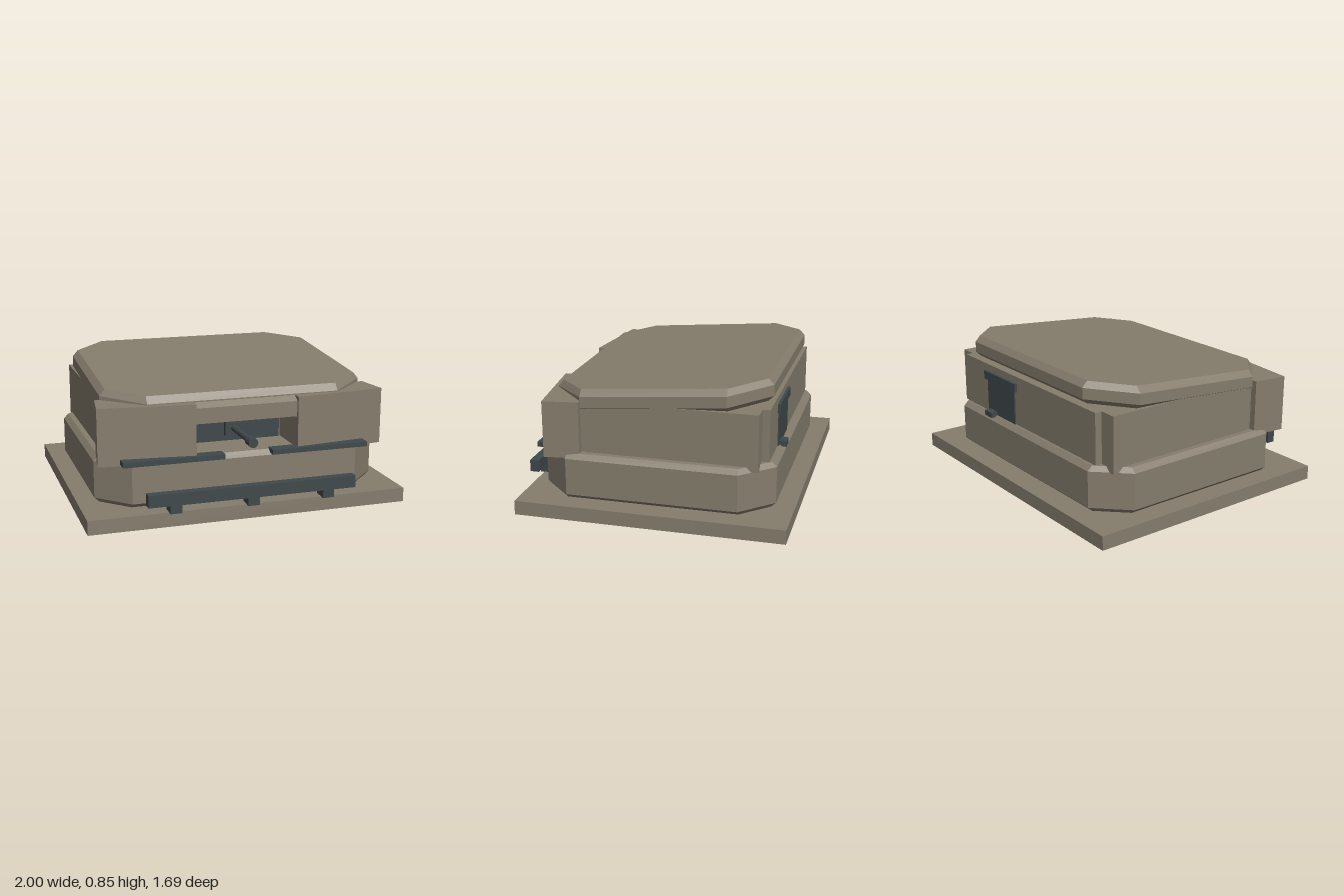
import * as THREE from 'three';

const concrete = new THREE.MeshStandardMaterial({ color: 0x857d6d });
concrete.name = 'concrete';
const metal = new THREE.MeshStandardMaterial({ color: 0x3f484b });
metal.name = 'dark metal';

// Rectangle with cut corners: half width, front z, back z, and where the cuts begin
const octagon = (x, zf, zb, cx, czf, czb) => [
  [cx, zf], [x, czf], [x, czb], [cx, zb], [-cx, zb], [-x, czb], [-x, czf], [-cx, zf],
];

// Flat-faced solid through stacked outlines; tilt raises the back end
function loft(layers, tilt = 0) {
  const v = [];
  const rings = layers.map(([pts, y]) => pts.map(([x, z]) => [x, y - tilt * z, z]));
  const tri = (a, b, c) => v.push(...a, ...b, ...c);
  const n = rings[0].length;
  for (let r = 0; r < rings.length - 1; r++) {
    for (let i = 0; i < n; i++) {
      const j = (i + 1) % n, lo = rings[r], hi = rings[r + 1];
      tri(lo[i], lo[j], hi[j]);
      tri(lo[i], hi[j], hi[i]);
    }
  }
  const bottom = rings[0], top = rings[rings.length - 1];
  for (let i = 1; i < n - 1; i++) {
    tri(bottom[0], bottom[i + 1], bottom[i]);
    tri(top[0], top[i], top[i + 1]);
  }
  const g = new THREE.BufferGeometry();
  g.setAttribute('position', new THREE.Float32BufferAttribute(v, 3));
  g.computeVertexNormals();
  return g;
}

// Upright prism from an (x, z) outline
function prism(pts, y0, y1) {
  const shape = new THREE.Shape(pts.map(([x, z]) => new THREE.Vector2(x, -z)));
  const g = new THREE.ExtrudeGeometry(shape, { depth: y1 - y0, bevelEnabled: false });
  return g.rotateX(-Math.PI / 2).translate(0, y0, 0);
}

// Box given by its extents
function box(x0, x1, y0, y1, z0, z1) {
  return new THREE.BoxGeometry(x1 - x0, y1 - y0, z1 - z0)
    .translate((x0 + x1) / 2, (y0 + y1) / 2, (z0 + z1) / 2);
}

export function createModel() {
  const model = new THREE.Group();
  model.name = 'bunker';
  const add = (name, geometry, material) => {
    const mesh = new THREE.Mesh(geometry, material);
    mesh.name = name;
    model.add(mesh);
  };

  // Ground slab
  add('slab', box(-1, 1, 0, 0.088, -0.845, 0.807), concrete);

  // Bevelled plinth with cut corners
  const plinth = (inset, y) => [octagon(0.9 - inset, 0.7 - inset, -0.735 + inset, 0.71, 0.51, -0.54), y];
  add('plinth', loft([plinth(0.03, 0.095), plinth(0, 0.122), plinth(0, 0.35), plinth(0.03, 0.38)]), concrete);

  // Main chamber, stepped at the rear corners
  add('chamber', prism([
    [0.835, 0.4], [0.835, -0.645], [0.725, -0.645], [0.725, -0.69],
    [-0.725, -0.69], [-0.725, -0.645], [-0.835, -0.645], [-0.835, 0.4],
  ], 0.35, 0.7), concrete);

  // Thick front walls either side of the firing slot
  for (const s of [1, -1]) {
    const outline = [[0.32, 0.39], [0.32, 0.712], [0.9, 0.645], [0.87, 0.43], [0.83, 0.43], [0.83, 0.39]];
    add(s > 0 ? 'leftFrontWall' : 'rightFrontWall',
      prism(outline.map(([x, z]) => [s * x, z]), 0.35, 0.7), concrete);
  }

  // Lintel over the slot, sloping at its top front edge
  const band = (zf) => [[0.32, zf], [0.32, 0.4], [-0.32, 0.4], [-0.32, zf]];
  add('lintel', loft([[band(0.692), 0.575], [band(0.692), 0.67], [band(0.65), 0.698]]), concrete);

  // Tilted roof slab with bevelled rim
  const roof = (inset, y) => [octagon(0.838 - inset, 0.65 - inset, -0.688 + inset, 0.6, 0.43, -0.455), y];
  add('roof', loft([roof(0.034, 0.662), roof(0, 0.691), roof(0, 0.759), roof(0.034, 0.798)], 0.0816), concrete);

  // Gun shield, mount and barrel inside the slot
  add('gunShield', box(-0.308, 0.308, 0.36, 0.54, 0.395, 0.42), metal);
  add('gunMount', box(-0.055, 0.055, 0.415, 0.515, 0.41, 0.45), metal);
  const tube = (r, z0, z1) => new THREE.CylinderGeometry(r, r, z1 - z0, 16)
    .rotateX(Math.PI / 2).translate(0, 0.465, (z0 + z1) / 2);
  add('barrel', tube(0.02, 0.44, 0.74), metal);
  add('muzzle', tube(0.03, 0.735, 0.808), metal);

  // Ledges below the front walls
  for (const s of [1, -1]) {
    add(s > 0 ? 'leftLedge' : 'rightLedge',
      box(Math.min(s * 0.15, s * 0.77), Math.max(s * 0.15, s * 0.77), 0.36, 0.39, 0.66, 0.738), metal);
  }

  // Front rail on three feet
  add('frontRail', box(-0.65, 0.65, 0.14, 0.215, 0.79, 0.845), metal);
  for (const x of [-0.48, 0, 0.48]) {
    add('railFoot', box(x - 0.036, x + 0.036, 0.086, 0.176, 0.74, 0.832), metal);
  }

  // Rear door with hood and step
  add('rearDoor', box(0.125, 0.445, 0.36, 0.61, -0.698, -0.68), metal);
  add('doorHood', box(0.1, 0.47, 0.6, 0.655, -0.708, -0.68), metal);
  add('doorStep', box(0.34, 0.42, 0.37, 0.405, -0.742, -0.69), metal);

  return model;
}
